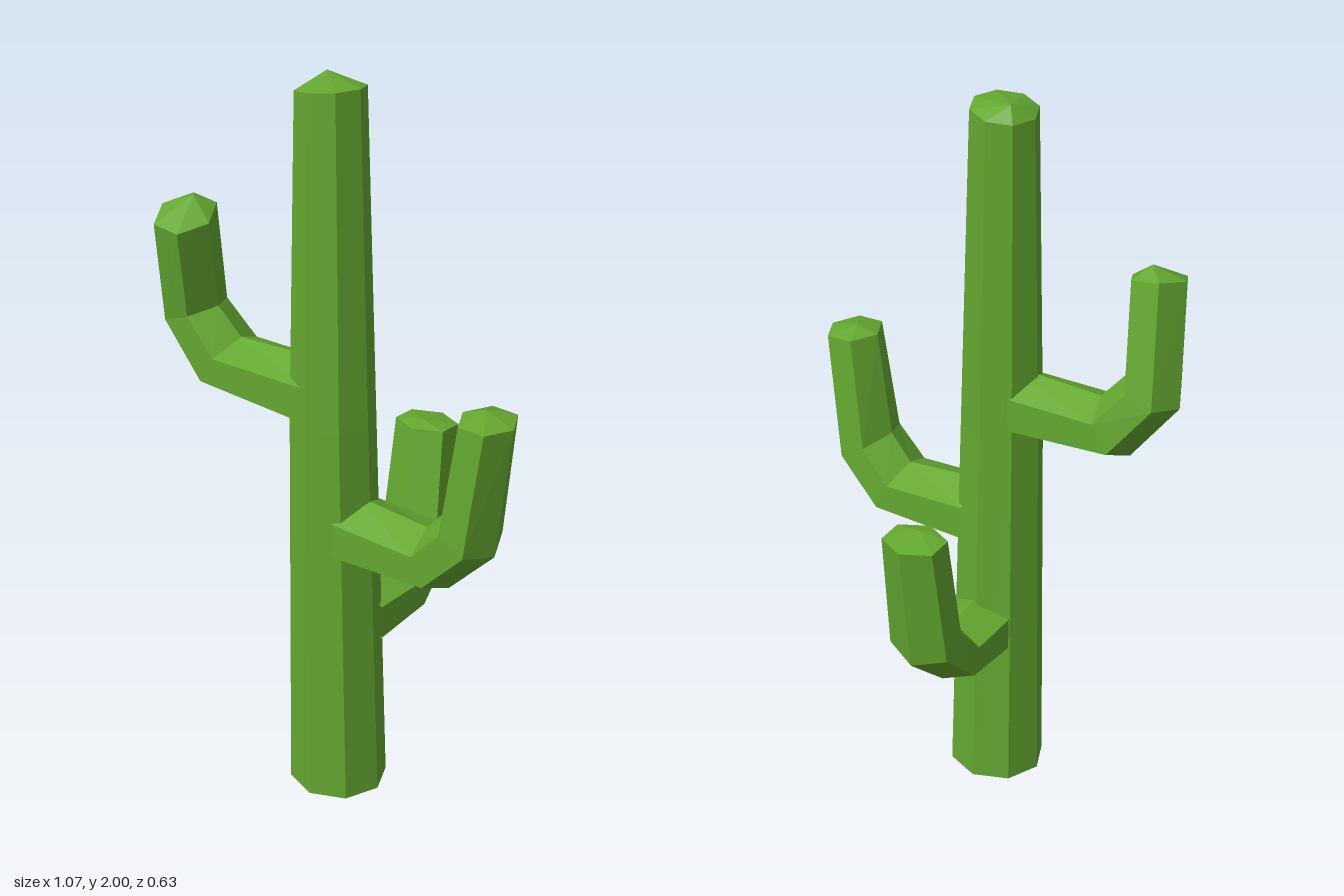
import * as THREE from 'three';

const V = (x, y, z) => new THREE.Vector3(x, y, z);

// Ring of n points around a centre; u x v points along the stem
function ring(centre, u, v, n, sideScale = 1) {
  return Array.from({ length: n }, (_, k) => {
    const a = (k / n) * Math.PI * 2;
    return centre.clone().addScaledVector(u, Math.cos(a)).addScaledVector(v, Math.sin(a) * sideScale);
  });
}

// Faceted skin through the rings, closed at the top by a low point
function loft(rings, apex) {
  const pos = [];
  const tri = (...pts) => pts.forEach((p) => pos.push(p.x, p.y, p.z));
  const n = rings[0].length;
  for (let r = 0; r < rings.length - 1; r++) {
    for (let k = 0; k < n; k++) {
      const j = (k + 1) % n, a = rings[r], b = rings[r + 1];
      tri(a[k], a[j], b[j]);
      tri(a[k], b[j], b[k]);
    }
  }
  const top = rings[rings.length - 1];
  for (let k = 0; k < n; k++) tri(top[k], top[(k + 1) % n], apex);
  const geo = new THREE.BufferGeometry();
  geo.setAttribute('position', new THREE.Float32BufferAttribute(pos, 3));
  geo.computeVertexNormals();
  return geo;
}

// Arm growing along local +x then up.
// Each section: outer x, outer y, inner x, inner y, side centre, half width, side tilt
function armGeometry(sections, apex) {
  const rings = sections.map(([ox, oy, ix, iy, c, w, tilt = 0]) =>
    ring(V((ox + ix) / 2, (oy + iy) / 2, c), V((ix - ox) / 2, (iy - oy) / 2, 0), V(0, tilt, w), 6, 1 / Math.sin(Math.PI / 3)));
  return loft(rings, V(...apex));
}

export function createModel() {
  const group = new THREE.Group();
  const green = new THREE.MeshStandardMaterial({ color: 0x64a830, side: THREE.DoubleSide });
  green.name = 'cactusGreen';

  const add = (name, geo, turn = 0) => {
    const mesh = new THREE.Mesh(geo, green);
    mesh.name = name;
    mesh.rotation.y = turn;
    group.add(mesh);
  };

  // Tapered eight-sided trunk, open underneath, with a slightly tilted top
  add('trunk', loft([
    ring(V(-0.025, 0, 0.16), V(0, 0, 0.13), V(0.135, 0, 0), 8),
    ring(V(-0.025, 1.1, 0.168), V(0, 0, 0.112), V(0.112, 0, 0), 8),
    ring(V(-0.028, 1.973, 0.16), V(0, 0.008, 0.09), V(0.089, 0.012, 0), 8),
  ], V(-0.07, 2, 0.12)));

  // Low arm on the model's left
  add('leftArm', armGeometry([
    [0.04, 0.703, 0.04, 0.895, 0.165, 0.095],
    [0.34, 0.72, 0.27, 0.875, 0.165, 0.095],
    [0.48, 0.86, 0.335, 0.945, 0.17, 0.09],
    [0.53, 1.23, 0.38, 1.235, 0.175, 0.075],
  ], [0.44, 1.255, 0.165]));

  // High arm on the model's right, leaning forward
  add('rightArm', armGeometry([
    [0.03, 1.065, 0.03, 1.26, -0.175, 0.09],
    [0.41, 1.1, 0.32, 1.25, -0.175, 0.09],
    [0.54, 1.27, 0.385, 1.325, -0.185, 0.08],
    [0.515, 1.595, 0.36, 1.575, -0.24, 0.078, 0.02],
  ], [0.43, 1.63, -0.215]), Math.PI);

  // Lowest arm at the back
  add('backArm', armGeometry([
    [-0.1, 0.395, -0.1, 0.585, -0.015, 0.095],
    [0.11, 0.415, 0.06, 0.57, -0.015, 0.095],
    [0.26, 0.545, 0.12, 0.645, -0.015, 0.09],
    [0.317, 0.925, 0.17, 0.935, -0.02, 0.078],
  ], [0.22, 0.945, -0.02]), Math.PI / 2);

  return group;
}
